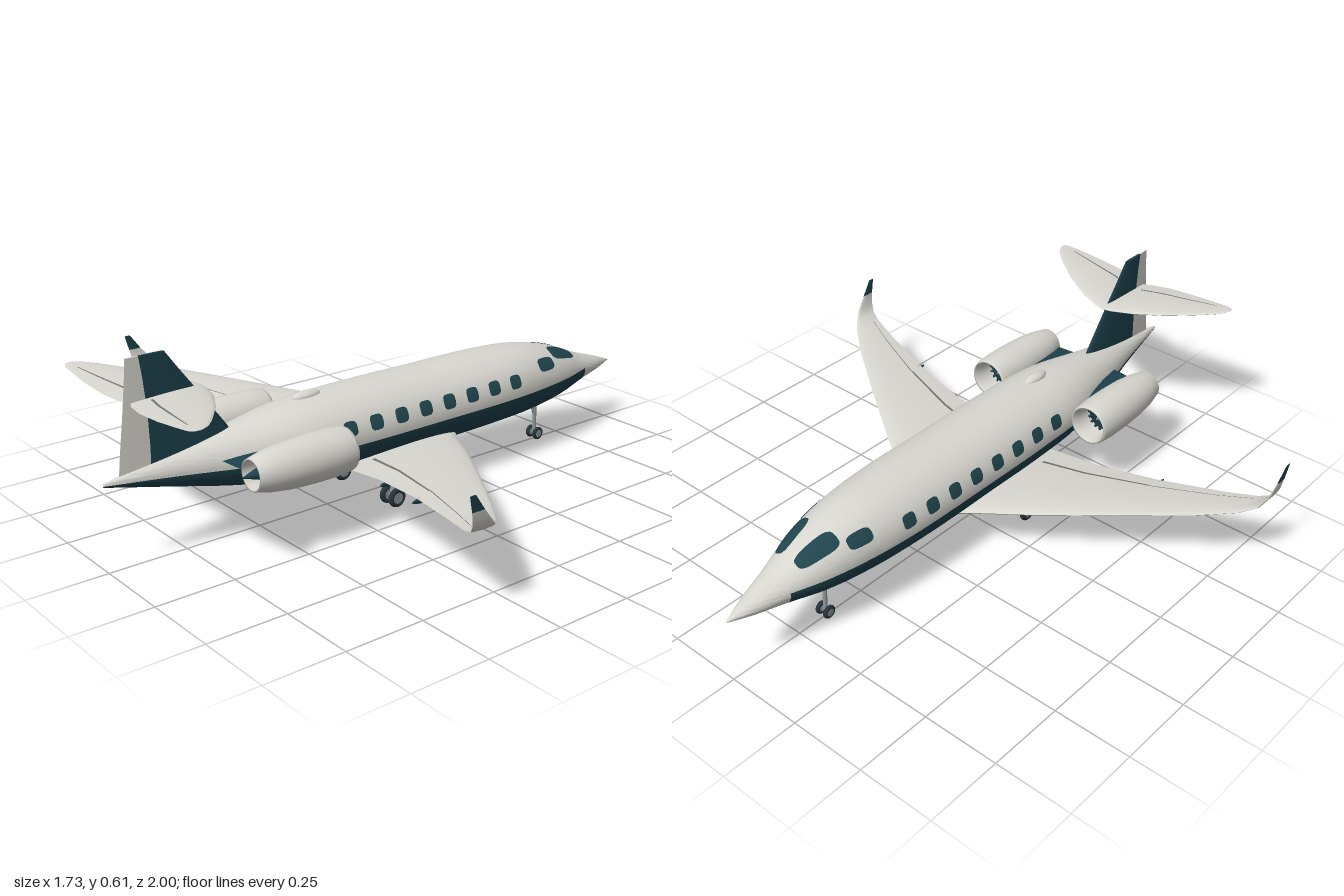
import * as THREE from 'three';
import { toCreasedNormals } from 'three/addons/utils/BufferGeometryUtils.js';

const paint = (name, color, side = THREE.FrontSide) => {
  const m = new THREE.MeshStandardMaterial({ color, side });
  m.name = name;
  return m;
};

// Skin through a row of cross-sections (each a list of Vector3)
function loft(rings, closed = true) {
  const n = rings[0].length, idx = [];
  for (let i = 0; i < rings.length - 1; i++)
    for (let j = 0; j < (closed ? n : n - 1); j++) {
      const a = i * n + j, b = i * n + (j + 1) % n;
      idx.push(a, a + n, b, b, a + n, b + n);
    }
  if (closed) {
    const e = (rings.length - 1) * n;
    for (let j = 1; j < n - 1; j++) idx.push(0, j, j + 1, e, e + j + 1, e + j);
  }
  const g = new THREE.BufferGeometry().setFromPoints(rings.flat());
  g.setIndex(idx);
  return toCreasedNormals(g, 0.7);
}

// Fuselage outline: z, top, bottom, half width
const stations = [
  [-1, .217, .213, .002], [-.93, .243, .197, .03], [-.82, .279, .176, .063], [-.7, .328, .148, .1],
  [-.55, .363, .13, .128], [-.4, .374, .124, .142], [-.1, .376, .12, .147], [.2, .376, .122, .147],
  [.4, .368, .13, .137], [.6, .338, .163, .09], [.8, .303, .21, .042], [1, .268, .258, .004]];
const outline = new THREE.CubicInterpolant(stations.map(s => s[0]), stations.flatMap(s => s.slice(1)), 3);
const bodyPoint = (z, a, lift = 0) => {
  const [top, bottom, w] = outline.evaluate(z);
  return new THREE.Vector3((w + lift) * Math.cos(a), (top + bottom) / 2 + ((top - bottom) / 2 + lift) * Math.sin(a), z);
};
// Angle of the paint line at a station
const paintLine = z => {
  const [top, bottom] = outline.evaluate(z);
  const y = .235 + .027 * Math.max(0, (z - .5) / .5);
  return Math.asin(THREE.MathUtils.clamp((2 * y - top - bottom) / (top - bottom), -.95, .95));
};
function bodyPart(z0, z1, from, to, steps) {
  const rings = [];
  for (let i = 0; i <= steps; i++) {
    const z = z1 + (z0 - z1) * i / steps, a = from(z), b = to(z);
    rings.push(Array.from({ length: 41 }, (_, j) => bodyPoint(z, a + (b - a) * j / 40)));
  }
  return loft(rings, false);
}
// Rounded thin panel lying on the fuselage skin
function panel(z, halfLength, angle, halfAngle, skew = 0, power = 3.5, lift = .002) {
  const rings = [];
  for (let i = 0; i <= 16; i++) {
    const u = Math.cos(Math.PI * i / 16), h = halfAngle * Math.pow(Math.max(0, 1 - Math.abs(u) ** power), 1 / power);
    rings.push(Array.from({ length: 9 }, (_, j) =>
      bodyPoint(z + u * halfLength, angle + skew * u + h * (j / 4 - 1), lift)));
  }
  return loft(rings, false);
}

// Aerofoil surfaces: each section is [x, y, leading z, trailing z]
function foilPoint(secs, i, c, sign, t, lift = 0) {
  const s = secs[i], p = secs[Math.max(0, i - 1)], q = secs[Math.min(secs.length - 1, i + 1)];
  const d = new THREE.Vector2(q[0] - p[0], q[1] - p[1]).normalize();
  const chord = s[3] - s[2], h = sign * (chord * t * (1.3 * Math.sqrt(c) * (1 - c) + .015 * c) + lift);
  return new THREE.Vector3(s[0] - d.y * h, s[1] + d.x * h, s[2] + c * chord);
}
function foil(secs, t, from = () => 0, to = () => 1) {
  const K = 14;
  return loft(secs.map((s, i) => {
    const a = from(s), b = to(s), ring = [];
    const at = k => a + (b - a) * (1 - Math.cos(Math.PI * k / K)) / 2;
    for (let k = K; k >= 0; k--) ring.push(foilPoint(secs, i, at(k), 1, t));
    for (let k = a === 0 ? 1 : 0; k <= K; k++) ring.push(foilPoint(secs, i, at(k), -1, t));
    return ring;
  }));
}
const foilStrip = (secs, t, first, last, c0, c1) => loft(
  secs.map((s, i) => [foilPoint(secs, i, c1, 1, t, .002), foilPoint(secs, i, c0, 1, t, .002)]).slice(first, last + 1), false);

function rod(a, b, r) {
  const A = new THREE.Vector3(...a), d = new THREE.Vector3(...b).sub(A);
  const g = new THREE.CylinderGeometry(r, r, d.length(), 12);
  g.applyQuaternion(new THREE.Quaternion().setFromUnitVectors(new THREE.Vector3(0, 1, 0), d.clone().normalize()));
  return g.translate(...A.addScaledVector(d, .5).toArray());
}

export function createModel() {
  const white = paint('warm white', 0xd8d7d0), teal = paint('dark teal', 0x1d414c);
  const gap = paint('panel gap grey', 0x74746f, THREE.DoubleSide), metal = paint('gear metal', 0x8b9699);
  const tyre = paint('tyre', 0x26343a), glass = paint('window teal', 0x21464f, THREE.DoubleSide);
  const model = new THREE.Group();
  const add = (parent, name, geo, mat) => {
    const m = new THREE.Mesh(geo, mat);
    m.name = name;
    parent.add(m);
    return m;
  };

  // Fuselage: nose cone, light upper shell, dark belly
  add(model, 'noseCone', bodyPart(-1, -.82, () => 0, () => 2 * Math.PI, 12), white);
  add(model, 'upperFuselage', bodyPart(-.82, 1, paintLine, z => Math.PI - paintLine(z), 60), white);
  add(model, 'belly', bodyPart(-.82, 1, z => Math.PI - paintLine(z), z => 2 * Math.PI + paintLine(z), 60), teal);
  add(model, 'entryDoor', panel(-.5, .036, Math.PI - .42, .42, 0, 6, .0015), white);
  add(model, 'antennaFairing', new THREE.SphereGeometry(1, 20, 12).scale(.021, .016, .05).translate(0, .372, .32), white);

  // Tail fin with a light rudder
  const finSecs = [[0, .27, .55, .95], [0, .34, .595, .942], [0, .45, .675, .927], [0, .55, .75, .915], [0, .606, .79, .91]];
  const hinge = s => .76 - .09 * (s[1] - .27) / .336;
  add(model, 'tailFin', foil(finSecs, .075, () => 0, hinge), teal);
  add(model, 'rudder', foil(finSecs, .075, hinge, () => 1), white);

  // Nose gear
  const gear = (parent, name, x, z, y, r, w, spread) => {
    for (const s of [-1, 1]) {
      const cx = x + s * spread;
      add(parent, name + 'Tyre', new THREE.TorusGeometry(r * .72, r * .28, 10, 24).rotateY(Math.PI / 2)
        .scale(w / (r * .56), 1, 1).translate(cx, y, z), tyre);
      add(parent, name + 'Hub', rod([cx - w * .4, y, z], [cx + w * .4, y, z], r * .6), metal);
    }
    add(parent, name + 'Axle', rod([x - spread, y, z], [x + spread, y, z], r * .2), metal);
  };
  gear(model, 'noseGear', 0, -.645, .023, .022, .014, .016);
  add(model, 'noseGearStrut', rod([0, .023, -.645], [0, .15, -.64], .007), metal);
  add(model, 'noseGearBrace', rod([0, .075, -.645], [0, .14, -.62], .004), metal);

  // Parts found on both sides
  const wingSecs = [
    [.04, .158, -.23, .275], [.15, .17, -.15, .275], [.3, .187, -.06, .28], [.5, .209, .075, .315], [.7, .231, .215, .372],
    [.8, .245, .295, .405], [.838, .259, .335, .42], [.855, .285, .362, .43], [.861, .325, .395, .438], [.865, .374, .43, .45]];
  const stabSecs = [
    [0, .478, .67, .9], [.03, .479, .675, .915], [.1, .484, .7, .93], [.2, .491, .755, .932],
    [.3, .5, .83, .927], [.335, .503, .862, .923], [.352, .505, .89, .915]];
  const pylonSecs = [[.05, .272, .42, .665], [.16, .272, .42, .655]];
  const nacelle = [
    [.05, .43], [.054, .36], [.06, .334], [.064, .332], [.068, .342], [.072, .39], [.072, .47],
    [.068, .55], [.06, .61], [.048, .66], [.043, .66], [.042, .6]].map(p => new THREE.Vector2(...p));

  for (const sign of [1, -1]) {
    const side = new THREE.Group();
    side.name = sign > 0 ? 'leftSide' : 'rightSide';
    side.scale.x = sign;
    model.add(side);

    // Wing and upswept winglet
    add(side, 'wing', foil(wingSecs.slice(0, 9), .085), white);
    add(side, 'wingletTip', foil(wingSecs.slice(8), .085), teal);
    add(side, 'flapGap', foilStrip(wingSecs, .085, 1, 3, .775, .8), gap);
    add(side, 'aileronGap', foilStrip(wingSecs, .085, 3, 5, .77, .785), gap);
    for (const [x, y, z] of [[.32, .18, .255], [.51, .203, .295]])
      add(side, 'flapTrackFairing', new THREE.SphereGeometry(1, 12, 8).scale(.005, .009, .042).translate(x, y, z), teal);

    // Horizontal stabilizer
    add(side, 'stabilizer', foil(stabSecs, .08), white);
    add(side, 'elevatorGap', foilStrip(stabSecs, .08, 1, 4, .72, .75), gap);

    // Engine
    add(side, 'enginePylon', foil(pylonSecs, .1), teal);
    const engine = new THREE.Group();
    engine.name = 'engine';
    engine.position.set(.21, .272, 0);
    side.add(engine);
    add(engine, 'nacelle', new THREE.LatheGeometry(nacelle, 40).rotateX(Math.PI / 2), white);
    add(engine, 'fanDisc', rod([0, 0, .41], [0, 0, .43], .053), tyre);
    for (let i = 0; i < 16; i++)
      add(engine, 'fanBlade', new THREE.BoxGeometry(.008, .036, .003).rotateY(.5).translate(0, .033, .402)
        .rotateZ(i * Math.PI / 8), teal);
    add(engine, 'fanSpinner', new THREE.ConeGeometry(.016, .035, 20).rotateX(-Math.PI / 2).translate(0, 0, .393), metal);
    add(engine, 'exhaustDisc', rod([0, 0, .6], [0, 0, .615], .044), teal);
    add(engine, 'exhaustCone', new THREE.ConeGeometry(.026, .085, 20).rotateX(Math.PI / 2).translate(0, 0, .65), teal);

    // Windows
    for (let i = 0; i < 8; i++) add(side, 'cabinWindow', panel(.26 - i * .0965, .024, .335, .18), glass);
    add(side, 'cockpitSideWindow', panel(-.585, .041, .6, .2, -.03), glass);
    add(side, 'windshield', panel(-.705, .066, 1.02, .3, -.04), glass);

    // Main gear
    gear(side, 'mainGear', .136, .1, .034, .031, .019, .021);
    add(side, 'mainGearStrut', rod([.136, .034, .1], [.107, .15, .065], .009), metal);
    add(side, 'mainGearBrace', rod([.13, .06, .09], [.12, .16, .1], .005), metal);
    add(side, 'mainGearDoor', new THREE.BoxGeometry(.06, .006, .05).translate(.125, .128, .075), white);
  }
  return model;
}
